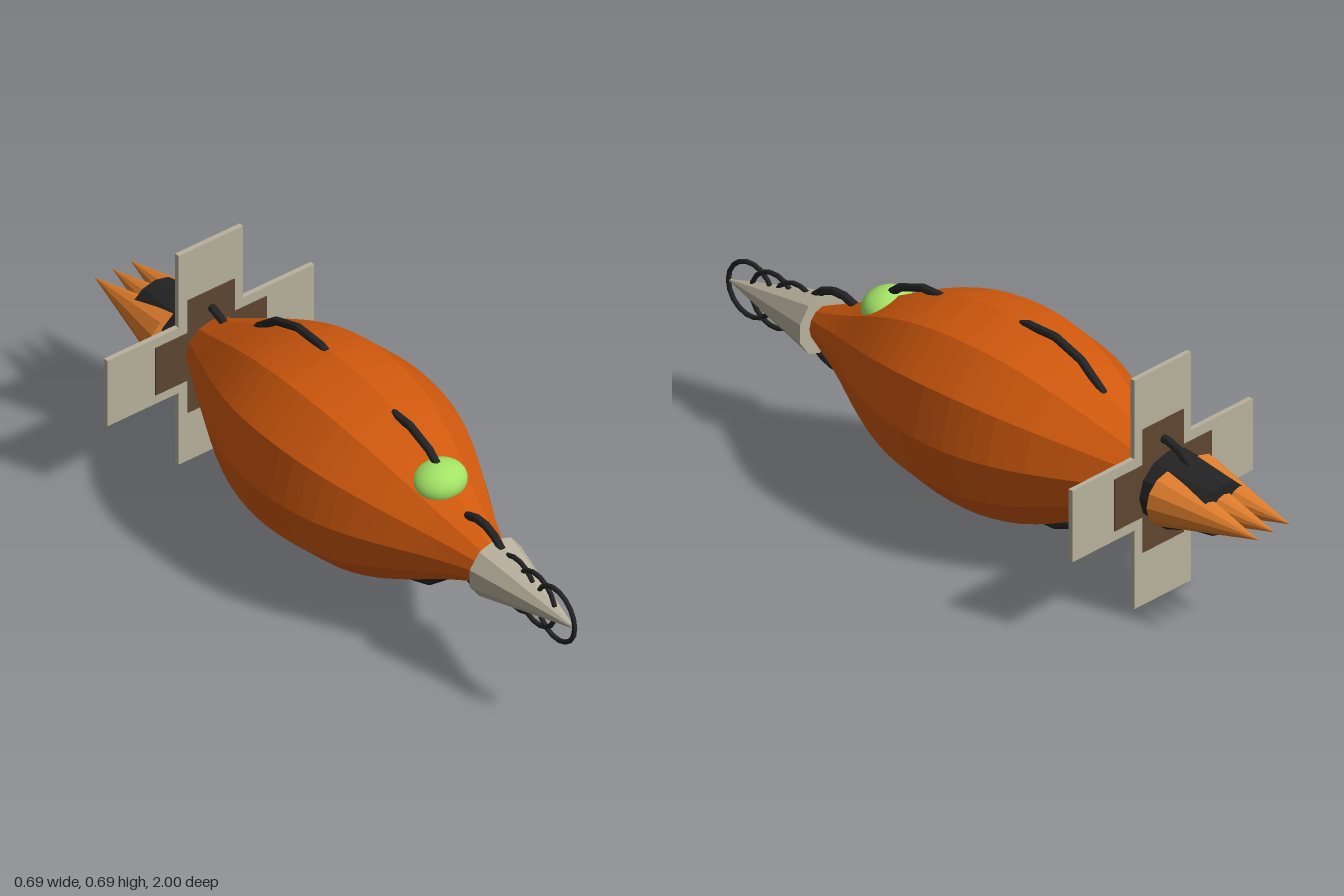
import * as THREE from 'three';

const CY = 0.347; // height of the long axis

function mat(name, color, flatShading = true) {
  const m = new THREE.MeshStandardMaterial({ color, flatShading });
  m.name = name;
  return m;
}

export function createModel() {
  const group = new THREE.Group();
  const orange = mat('hull orange', 0xcf580d);
  const flame = mat('flame orange', 0xde7d2c);
  const grey = mat('warm grey', 0xb9b19d);
  const brown = mat('brown', 0x5e4630);
  const black = mat('black', 0x232323);
  const green = mat('canopy green', 0xa3e366, false);

  function add(name, geometry, material, x = 0, y = CY, z = 0) {
    const mesh = new THREE.Mesh(geometry, material);
    mesh.name = name;
    mesh.position.set(x, y, z);
    group.add(mesh);
    return mesh;
  }

  // Twelve-sided spindle hull along z
  const stations = [
    [0.065, -0.62], [0.09, -0.565], [0.135, -0.48], [0.178, -0.4], [0.227, -0.3], [0.264, -0.2],
    [0.284, -0.1], [0.29, -0.01], [0.283, 0.1], [0.262, 0.2], [0.225, 0.3], [0.175, 0.4],
    [0.13, 0.48], [0.09, 0.56], [0.05, 0.65],
  ].map(([r, z]) => new THREE.Vector2(r, z));
  const curve = new THREE.SplineCurve(stations).getPoints(28);
  const profile = [new THREE.Vector2(0, -0.62), ...curve, new THREE.Vector2(0, 0.65)];
  add('hull', new THREE.LatheGeometry(profile, 12).rotateX(Math.PI / 2), orange);

  // Nose cone
  add('noseCone', new THREE.ConeGeometry(0.09, 0.35, 10).rotateX(Math.PI / 2), grey, 0, CY, 0.825);

  // Upright rings: thin ones on the nose, thick ones half sunk in the hull
  const ring = (name, z, radius, tube) =>
    add(name, new THREE.TorusGeometry(radius, tube, 8, 18).rotateY(Math.PI / 2), black, 0, CY, z);
  for (const z of [0.912, 0.828, 0.744]) ring('noseRing', z, 0.081, 0.007);
  for (const [z, r] of [[0.59, 0.114], [0.24, 0.251], [-0.15, 0.289], [-0.59, 0.13]]) {
    ring('hullRing', z, r, 0.012);
  }

  // Canopy
  const canopy = add('canopy', new THREE.SphereGeometry(1, 24, 16), green, 0, 0.49, 0.408);
  canopy.scale.set(0.08, 0.055, 0.07);

  // Crossed fin plates with a smaller brown cross on both faces
  const cross = (name, length, width, depth, material) => {
    const a = length / 2, b = width / 2;
    const shape = new THREE.Shape([
      [-b, -a], [b, -a], [b, -b], [a, -b], [a, b], [b, b],
      [b, a], [-b, a], [-b, b], [-a, b], [-a, -b], [-b, -b],
    ].map(([x, y]) => new THREE.Vector2(x, y)));
    const geo = new THREE.ExtrudeGeometry(shape, { depth, bevelEnabled: false });
    add(name, geo.translate(0, 0, -depth / 2), material, 0, CY, -0.584);
  };
  cross('fins', 0.692, 0.216, 0.015, grey);
  cross('finPanels', 0.372, 0.156, 0.021, brown);

  // Engine block tapering to the rear
  const engine = add('engine', new THREE.CylinderGeometry(0.1, 0.075, 0.2, 12).rotateX(Math.PI / 2),
    black, 0, CY, -0.715);
  engine.scale.x = 1.15;

  // Three exhaust flames
  for (const x of [-0.06, 0, 0.06]) {
    add('exhaustFlame', new THREE.ConeGeometry(0.08, 0.335, 12).rotateX(-Math.PI / 2), flame, x, CY, -0.8325);
  }
  return group;
}
